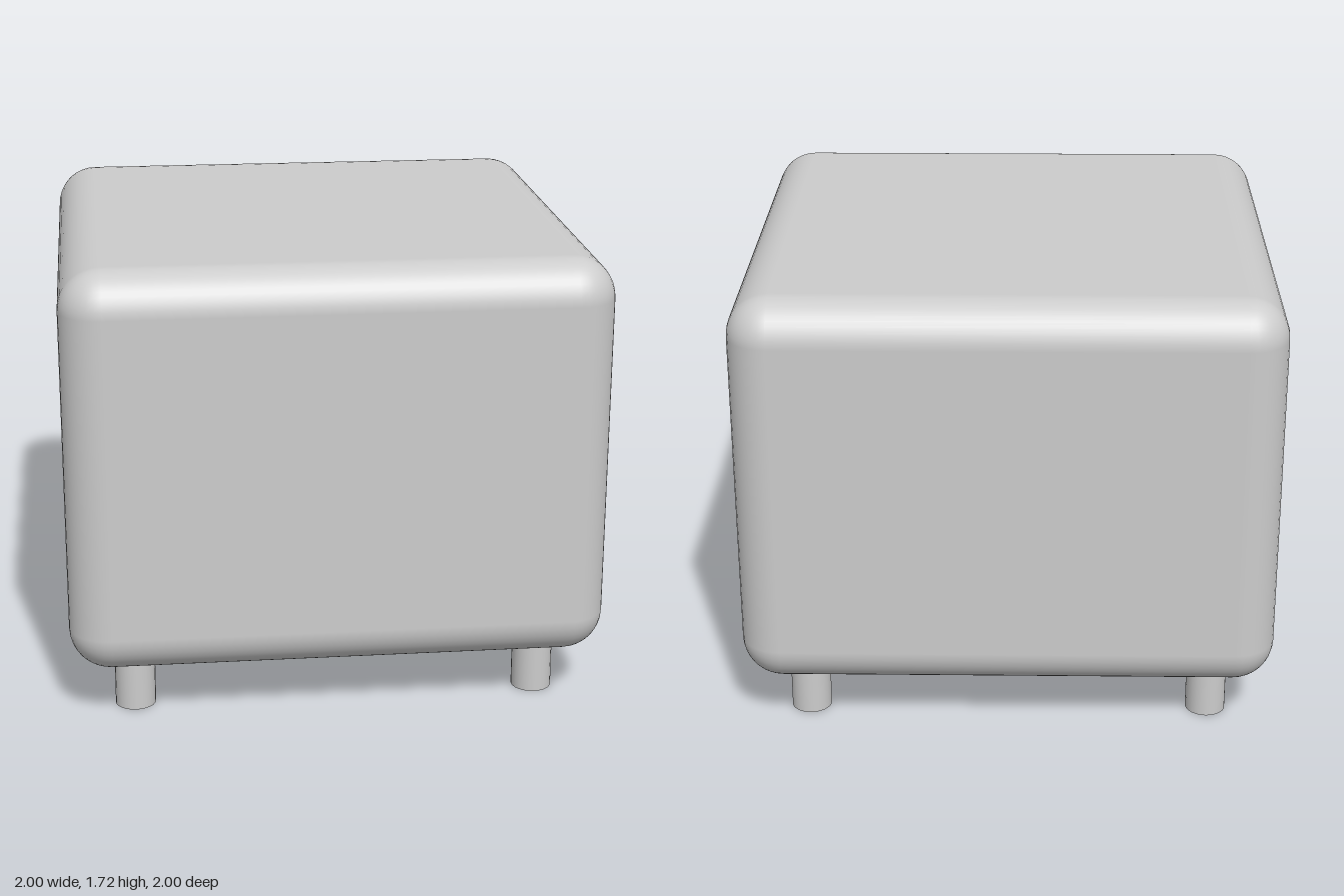
import * as THREE from 'three';
import { RoundedBoxGeometry } from 'three/addons/geometries/RoundedBoxGeometry.js';

export function createModel() {
  const model = new THREE.Group();
  model.name = 'ottoman';
  const fabric = new THREE.MeshStandardMaterial({ color: 0xcccccc });
  fabric.name = 'light grey';

  // Padded cube with softly rounded edges
  const cushion = new THREE.Mesh(new RoundedBoxGeometry(2, 1.52, 2, 5, 0.155), fabric);
  cushion.name = 'cushion';
  cushion.position.y = 0.96;
  model.add(cushion);

  // Four short round legs, reaching slightly into the cushion
  const legHeight = 0.23;
  const legGeometry = new THREE.CylinderGeometry(0.076, 0.076, legHeight, 24);
  for (const x of [-0.76, 0.76]) {
    for (const z of [-0.76, 0.76]) {
      const leg = new THREE.Mesh(legGeometry, fabric);
      leg.name = (z > 0 ? 'front' : 'back') + (x > 0 ? 'Left' : 'Right') + 'Leg';
      leg.position.set(x, legHeight / 2, z);
      model.add(leg);
    }
  }
  return model;
}
